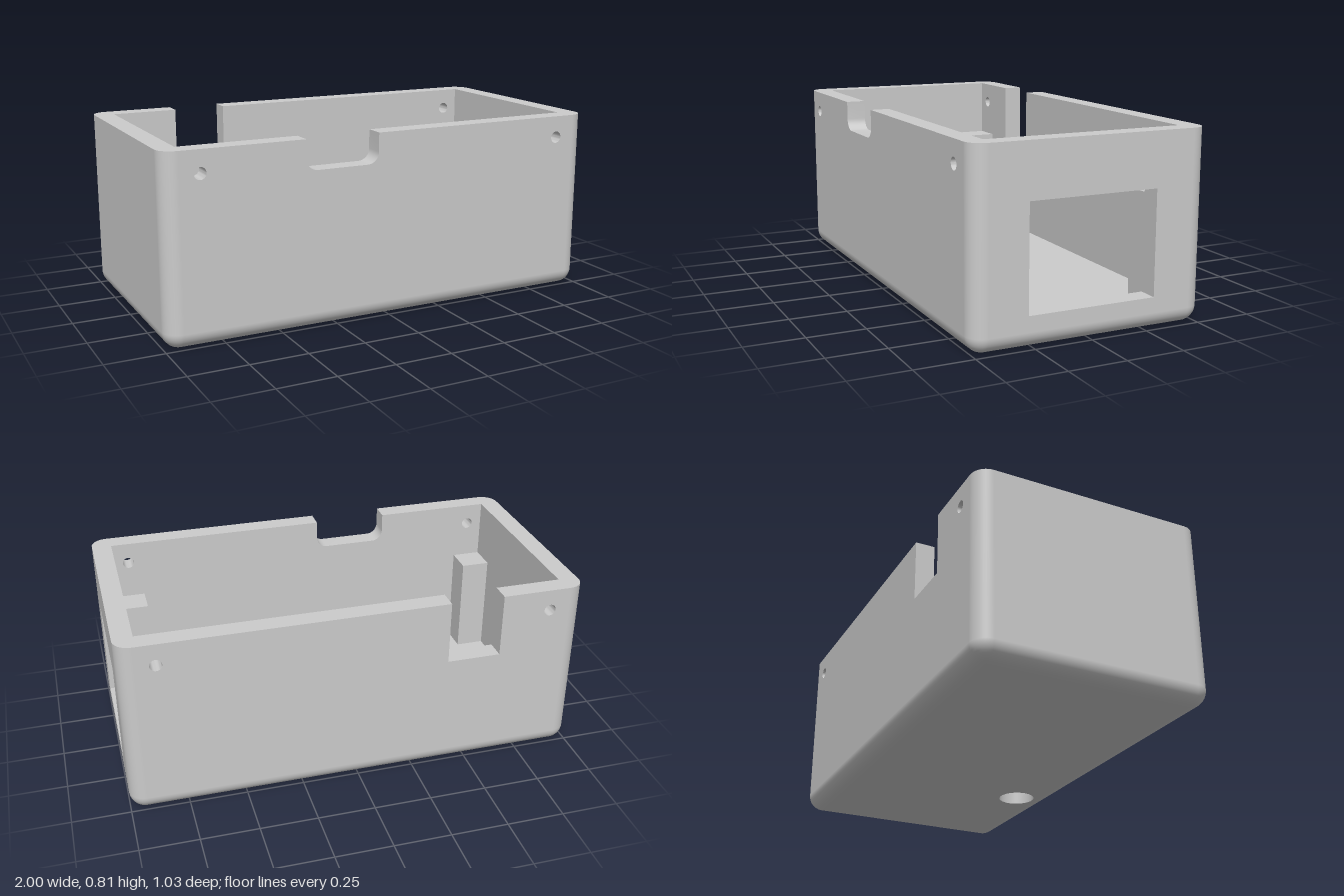
import * as THREE from 'three';
import { mergeGeometries, toCreasedNormals } from 'three/addons/utils/BufferGeometryUtils.js';

const L = 1, W = 0.516, H = 0.805;   // half length, half width, height
const T = 0.086, R = 0.07;           // wall thickness, outer edge radius
const material = new THREE.MeshStandardMaterial({ color: 0xcccccc });
const V = (x, y) => new THREE.Vector2(x, y);

// Clockwise circle, so its strip faces the hole's centre
function circle(x, y, r, n = 32) {
  return Array.from({ length: n }, (_, i) => {
    const a = -i / n * Math.PI * 2;
    return V(x + r * Math.cos(a), y + r * Math.sin(a));
  });
}

// Cutout from the top edge, listed right to left, with optional rounded bottom corners
function notch(x0, x1, y, r = 0) {
  const n = r ? 8 : 0, pts = [V(x1, H)];
  [x1 - r, x0 + r].forEach((cx, k) => {
    for (let i = 0; i <= n; i++) {
      const a = -(k + (n ? i / n : 0)) * Math.PI / 2;
      pts.push(V(cx + r * Math.cos(a), y + r + r * Math.sin(a)));
    }
  });
  pts.push(V(x0, H));
  return pts;
}

// Flat sheet at depth z; flipped sheets face -z
function sheet(points, holes, z, flip) {
  const shape = new THREE.Shape(points);
  shape.holes = holes.map(h => new THREE.Path(h));
  const g = new THREE.ShapeGeometry(shape).translate(0, 0, z);
  if (flip) g.setIndex(Array.from(g.index.array).reverse());
  g.deleteAttribute('uv');
  g.deleteAttribute('normal');
  return g.toNonIndexed();
}

// Cut faces running through the wall along a line of points
function strip(points, closed) {
  const pos = [], n = points.length;
  for (let i = 0; i < (closed ? n : n - 1); i++) {
    const p = points[i], q = points[(i + 1) % n];
    pos.push(p.x, p.y, 0, p.x, p.y, -T, q.x, q.y, 0);
    pos.push(q.x, q.y, 0, p.x, p.y, -T, q.x, q.y, -T);
  }
  return new THREE.BufferGeometry().setAttribute('position', new THREE.Float32BufferAttribute(pos, 3));
}

// Wall with an outer face, an inner face and its cutouts
function panel(name, half, outerBottom, innerBottom, outerTop, innerTop, holes = [], cut = []) {
  const outline = (a, b, t) => [V(-a, b), V(a, b), V(a, t), ...cut, V(-a, t)];
  const parts = [
    sheet(outline(half - R, outerBottom, outerTop), holes, 0, false),
    sheet(outline(half - T, innerBottom, innerTop), holes, -T, true),
    ...holes.map(h => strip(h, true)),
  ];
  if (cut.length) parts.push(strip(cut, false));
  const mesh = new THREE.Mesh(toCreasedNormals(mergeGeometries(parts), Math.PI / 6), material);
  mesh.name = name;
  return mesh;
}

// Rounded bottom edges and vertical corners
function roundedEdges() {
  const n = 10, ring = 4 * (n + 1), pos = [], nor = [], idx = [];
  for (let j = 0; j <= n + 1; j++) {
    const phi = Math.min(j / n, 1) * Math.PI / 2, s = Math.sin(phi), c = Math.cos(phi);
    for (let k = 0; k < 4; k++) for (let i = 0; i <= n; i++) {
      const a = (k + i / n) * Math.PI / 2, nx = s * Math.cos(a), nz = s * Math.sin(a);
      const cx = (k === 0 || k === 3 ? 1 : -1) * (L - R), cz = (k < 2 ? 1 : -1) * (W - R);
      pos.push(cx + R * nx, j > n ? H : R - R * c, cz + R * nz);
      nor.push(nx, -c, nz);
    }
  }
  for (let j = 0; j <= n; j++) for (let i = 0; i < ring; i++) {
    if (j === n && i % (n + 1) === n) continue; // flat walls fill these spans
    const a = j * ring + i, b = j * ring + (i + 1) % ring;
    idx.push(a, a + ring, b, b, a + ring, b + ring);
  }
  const g = new THREE.BufferGeometry();
  g.setAttribute('position', new THREE.Float32BufferAttribute(pos, 3));
  g.setAttribute('normal', new THREE.Float32BufferAttribute(nor, 3));
  g.setIndex(idx);
  const mesh = new THREE.Mesh(g, material);
  mesh.name = 'roundedEdges';
  return mesh;
}

// Half of the top rim, on side s, ending at the front and back notches
function rim(s, xFront, xBack) {
  const pts = [V(xFront, -W)], n = 10;
  for (const e of [-1, 1]) for (let i = 0; i <= n; i++) {
    const a = (e < 0 ? 1 - i / n : i / n) * Math.PI / 2;
    pts.push(V(s * (L - R + R * Math.cos(a)), e * (W - R + R * Math.sin(a))));
  }
  pts.push(V(xBack, W), V(xBack, W - T), V(s * (L - T), W - T), V(s * (L - T), T - W), V(xFront, T - W));
  const mesh = new THREE.Mesh(new THREE.ShapeGeometry(new THREE.Shape(pts)), material);
  mesh.rotation.x = -Math.PI / 2;
  mesh.position.y = H;
  mesh.name = s > 0 ? 'leftRim' : 'rightRim';
  return mesh;
}

export function createModel() {
  const model = new THREE.Group();
  model.name = 'enclosure';
  const screwHoles = () => [-1, 1].map(s => circle(s * 0.843, 0.71, 0.026, 24));

  // Four walls and the floor
  const front = panel('frontWall', L, R, T, H, H, screwHoles(), notch(-0.395, -0.065, 0.675, 0.05));
  front.position.z = W;
  const back = panel('backWall', L, R, T, H, H, screwHoles(), notch(0.39, 0.625, 0.525));
  back.rotation.y = Math.PI;
  back.position.z = -W;
  const opening = [V(-0.28, 0.136), V(-0.28, 0.577), V(0.28, 0.577), V(0.28, 0.136)];
  const left = panel('leftWallWithWindow', W, R, T, H, H, [opening]);
  left.rotation.y = Math.PI / 2;
  left.position.x = L;
  const right = panel('rightWall', W, R, T, H, H);
  right.rotation.y = -Math.PI / 2;
  right.position.x = -L;
  const floor = panel('floor', L, R - W, T - W, W - R, W - T, [circle(0.345, 0.345, 0.083, 48)]);
  floor.rotation.x = Math.PI / 2;
  model.add(front, back, left, right, floor, roundedEdges());

  // Top rim, split by the notches
  model.add(rim(1, -0.065, -0.39), rim(-1, -0.395, -0.625));

  // Inner corner posts
  const size = 0.13, top = 0.54;
  for (const sx of [-1, 1]) for (const sz of [-1, 1]) {
    const post = new THREE.Mesh(new THREE.BoxGeometry(size, top - T, size), material);
    post.position.set(sx * (L - T - size / 2), (top + T) / 2, sz * (W - T - size / 2));
    post.name = 'cornerPost';
    model.add(post);
  }
  return model;
}
